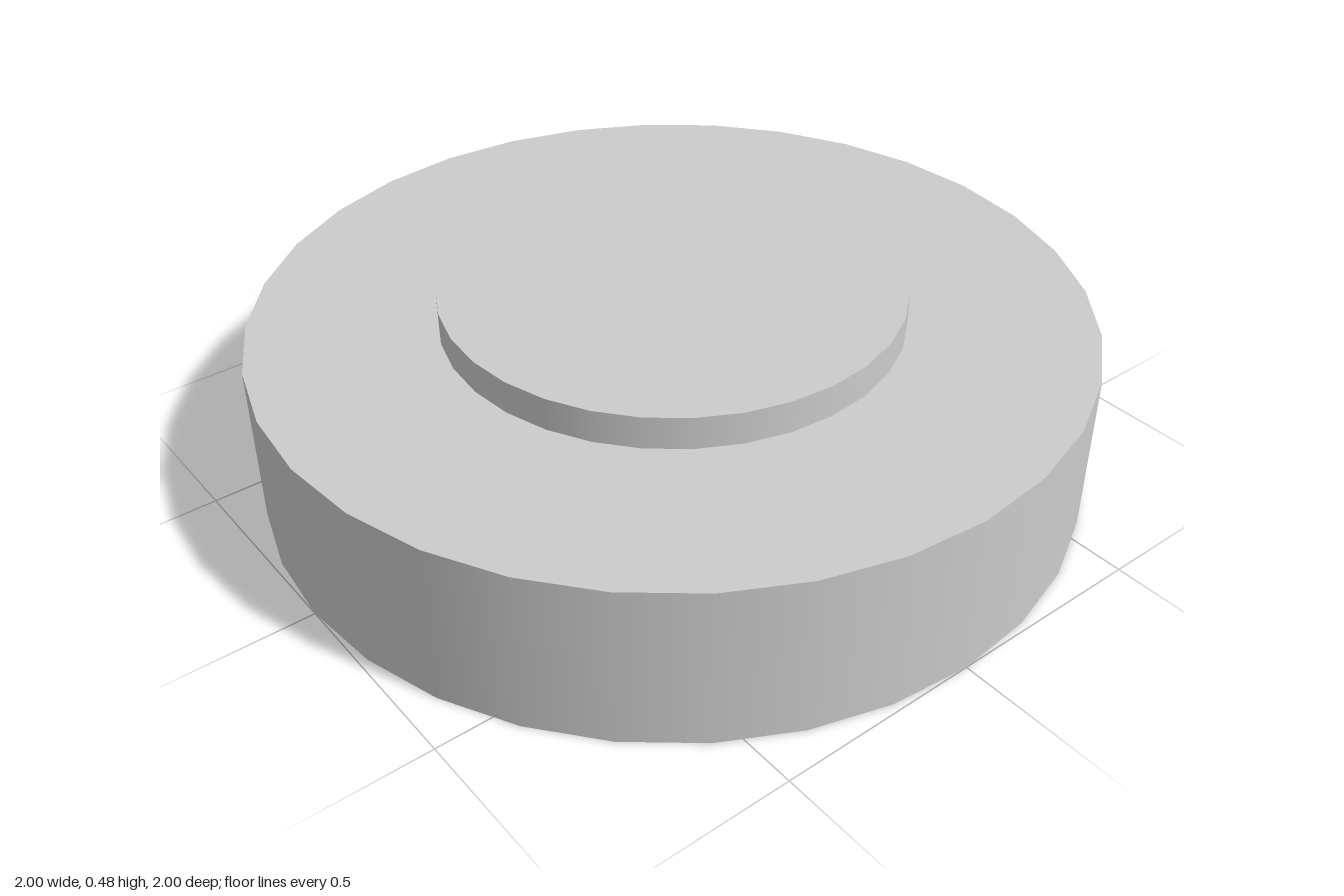
import * as THREE from 'three';

const SIDES = 32;

export function createModel() {
  const group = new THREE.Group();
  const material = new THREE.MeshStandardMaterial({ color: 0xcccccc });

  // Upright disc resting at height y
  const addDisc = (name, radius, height, y) => {
    const disc = new THREE.Mesh(new THREE.CylinderGeometry(radius, radius, height, SIDES), material);
    disc.name = name;
    disc.position.y = y + height / 2;
    group.add(disc);
  };

  addDisc('base', 1, 0.4, 0);
  addDisc('raisedTop', 0.553, 0.08, 0.4);

  return group;
}
